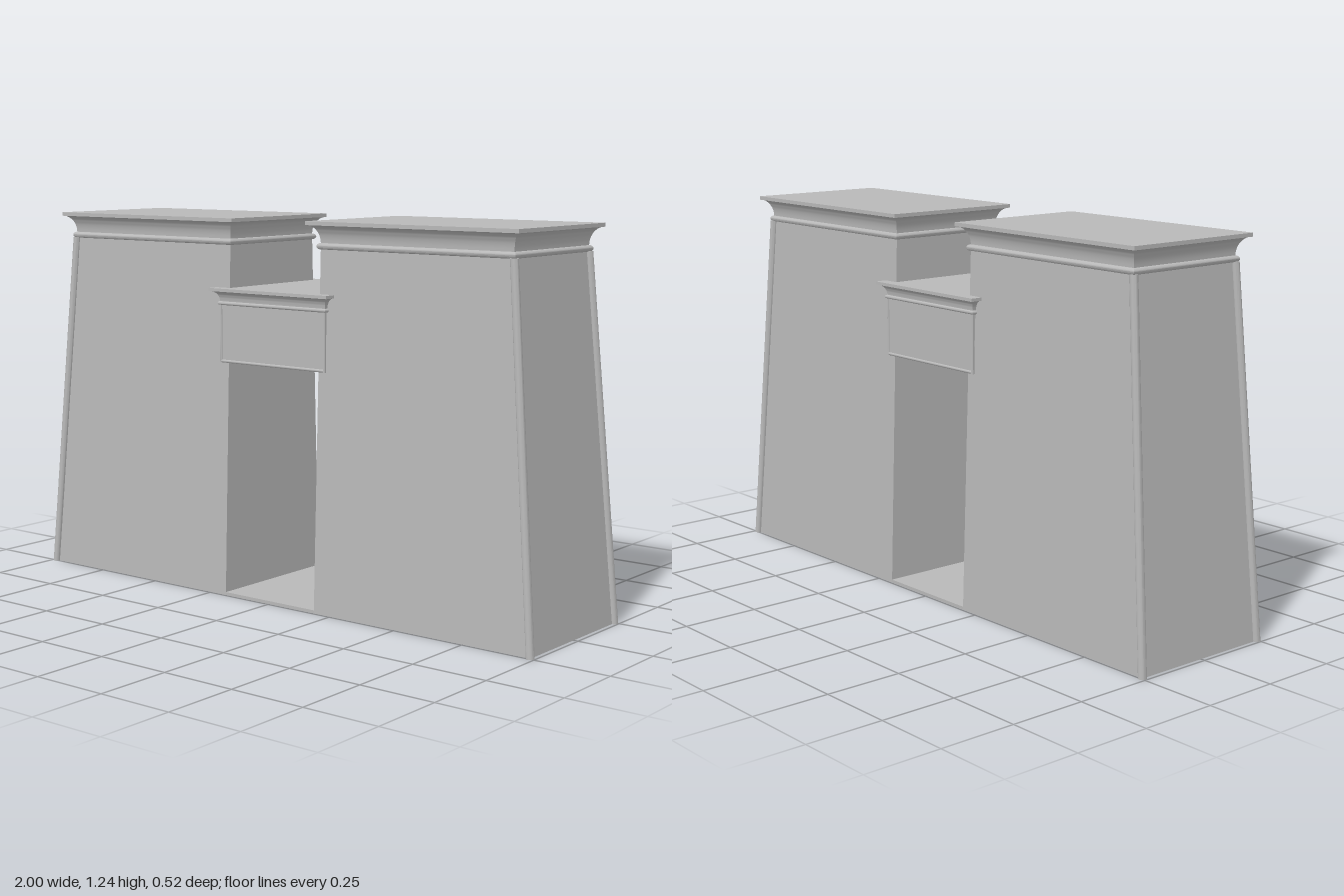
import * as THREE from 'three';
import { toCreasedNormals } from 'three/addons/utils/BufferGeometryUtils.js';

const stone = new THREE.MeshStandardMaterial({ color: 0xb8b8b8 });
stone.name = 'stone';

// Closed solid skinned through rings of [x, y, z], each counter-clockwise from above
function loft(name, rings) {
  const n = rings[0].length, last = (rings.length - 1) * n, index = [];
  for (let i = 0; i < rings.length - 1; i++) {
    for (let j = 0; j < n; j++) {
      const a = i * n + j, b = i * n + (j + 1) % n;
      index.push(a, b, b + n, a, b + n, a + n);
    }
  }
  for (let j = 1; j < n - 1; j++) {
    index.push(0, j + 1, j);
    index.push(last, last + j, last + j + 1);
  }
  const geo = new THREE.BufferGeometry();
  geo.setAttribute('position', new THREE.Float32BufferAttribute(rings.flat(2), 3));
  geo.setIndex(index);
  const mesh = new THREE.Mesh(toCreasedNormals(geo, 0.65), stone);
  mesh.name = name;
  return mesh;
}

const rectRing = (x0, x1, z, y, out = 0) => [
  [x0 - out, y, z + out], [x1 + out, y, z + out],
  [x1 + out, y, -z - out], [x0 - out, y, -z - out],
];

function circleRing(x, y, z, r, n = 16) {
  return Array.from({ length: n }, (_, i) => {
    const t = (i / n) * Math.PI * 2;
    return [x + r * Math.cos(t), y, z - r * Math.sin(t)];
  });
}

// Roll moulding, concave flare and flat fillet running round a rectangle
function cornice(name, x0, x1, z, y, r, flareTop, top, out) {
  const profile = [];
  for (let i = 0; i <= 8; i++) {
    const t = (i / 8) * Math.PI;
    profile.push([r * Math.sin(t), y + r - r * Math.cos(t)]);
  }
  const start = y + 2 * r;
  for (let i = 1; i <= 10; i++) {
    const t = (i / 10) * Math.PI / 2;
    profile.push([(out - 0.002) * (1 - Math.cos(t)), start + (flareTop - start) * Math.sin(t)]);
  }
  profile.push([out, flareTop], [out, top]);
  return loft(name, profile.map(([o, h]) => rectRing(x0, x1, z, h, o)));
}

// Battered tower; side is +1 for left, -1 for right
function tower(side) {
  const group = new THREE.Group();
  group.name = side > 0 ? 'leftTower' : 'rightTower';
  const span = (outer) => (side > 0 ? [0.185, outer] : [-outer, -0.185]);
  group.add(loft('towerBody', [
    rectRing(...span(0.985), 0.245, 0),
    rectRing(...span(0.887), 0.21, 1.15),
  ]));
  group.add(cornice('towerCornice', ...span(0.887), 0.21, 1.148, 0.01, 1.223, 1.235, 0.035));
  // Rolls up the two outer corners
  for (const f of [1, -1]) {
    group.add(loft('cornerRoll', [
      circleRing(side * 0.985, 0, f * 0.245, 0.013),
      circleRing(side * 0.887, 1.15, f * 0.21, 0.013),
    ]));
  }
  return group;
}

function gate() {
  const group = new THREE.Group();
  group.name = 'gateway';
  group.add(loft('lintel', [rectRing(-0.213, 0.213, 0.227, 0.772), rectRing(-0.213, 0.213, 0.227, 0.956)]));
  group.add(cornice('lintelCornice', -0.215, 0.215, 0.228, 0.955, 0.006, 1.0, 1.01, 0.026));
  // Thin rolls framing each lintel face
  for (const f of [1, -1]) {
    for (const s of [1, -1]) {
      group.add(loft('lintelSideRoll', [
        circleRing(s * 0.212, 0.768, f * 0.226, 0.005, 10),
        circleRing(s * 0.212, 0.956, f * 0.226, 0.005, 10),
      ]));
    }
    const roll = new THREE.Mesh(new THREE.CylinderGeometry(0.005, 0.005, 0.426, 10), stone);
    roll.name = 'lintelBottomRoll';
    roll.rotation.z = Math.PI / 2;
    roll.position.set(0, 0.773, f * 0.226);
    group.add(roll);
  }
  // Threshold slab between the towers
  const floor = new THREE.Mesh(new THREE.BoxGeometry(0.37, 0.01, 0.49), stone);
  floor.name = 'threshold';
  floor.position.y = 0.005;
  group.add(floor);
  return group;
}

export function createModel() {
  const model = new THREE.Group();
  model.name = 'templeGate';
  model.add(tower(1), tower(-1), gate());
  return model;
}
